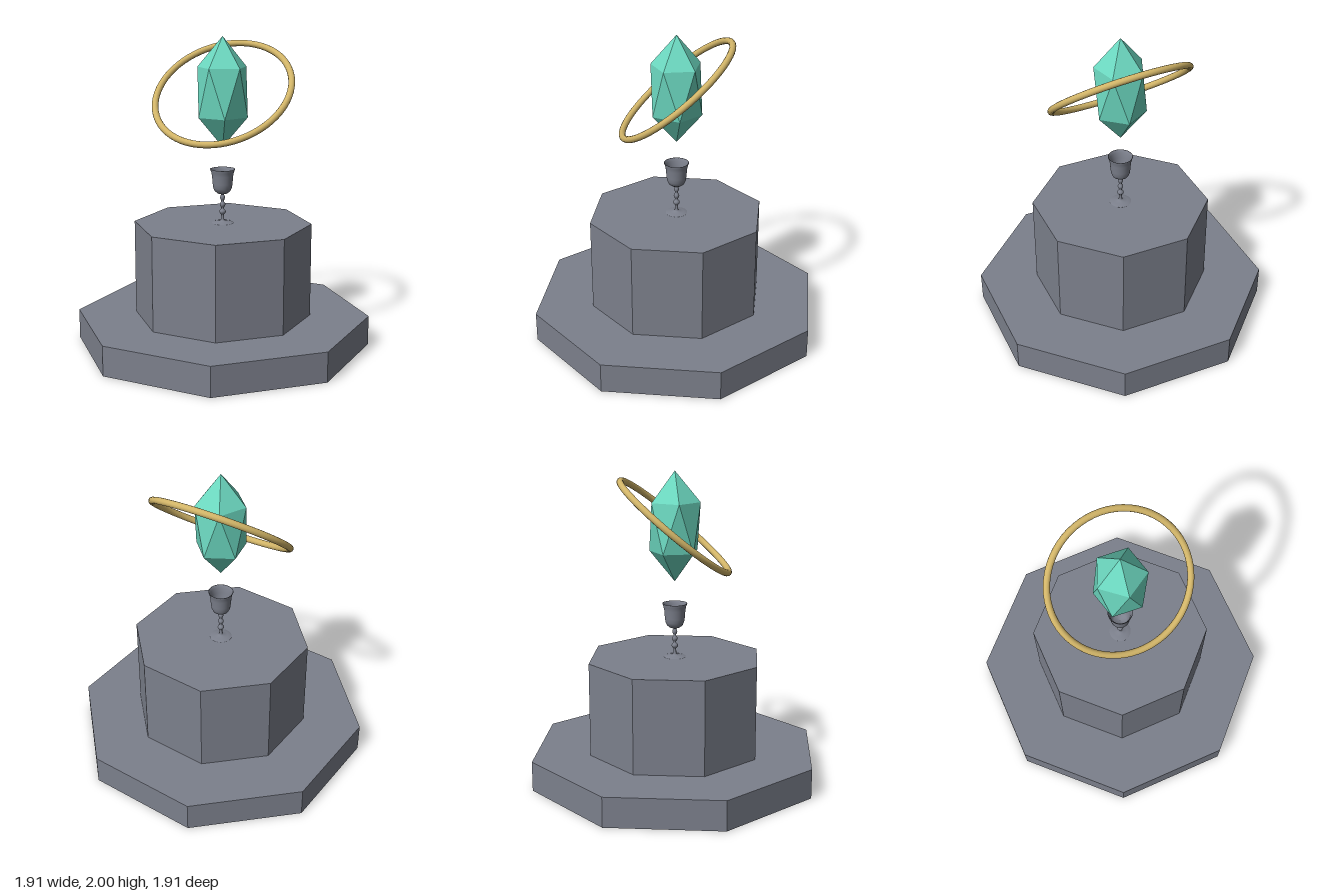
import * as THREE from 'three';
import { ConvexGeometry } from 'three/addons/geometries/ConvexGeometry.js';

const stone = new THREE.MeshStandardMaterial({ name: 'grey stone', color: 0x7c808c });
const stoneFlat = stone.clone();
stoneFlat.flatShading = true;
const gold = new THREE.MeshStandardMaterial({ name: 'gold', color: 0xd2b568 });
const crystalGreen = new THREE.MeshStandardMaterial({ name: 'crystal green', color: 0x6cd8c0, flatShading: true });

function add(group, name, geometry, material, y = 0) {
  const mesh = new THREE.Mesh(geometry, material);
  mesh.name = name;
  mesh.position.y = y;
  group.add(mesh);
  return mesh;
}

// Octagonal block with corners on the x and z axes
function octagon(group, name, radius, bottom, top) {
  add(group, name, new THREE.CylinderGeometry(radius, radius, top - bottom, 8), stoneFlat, (bottom + top) / 2);
}

// Elongated crystal: two poles and two staggered rings of five points
function crystalGeometry(halfHeight, radius) {
  const ringY = halfHeight / Math.sqrt(5);
  const points = [new THREE.Vector3(0, halfHeight, 0), new THREE.Vector3(0, -halfHeight, 0)];
  for (let i = 0; i < 5; i++) {
    const a = (i * Math.PI * 2) / 5;
    const x = radius * Math.cos(a), z = radius * Math.sin(a);
    points.push(new THREE.Vector3(x, ringY, z), new THREE.Vector3(-x, -ringY, -z));
  }
  return new ConvexGeometry(points);
}

export function createModel() {
  const model = new THREE.Group();
  model.name = 'crystalShrine';

  octagon(model, 'plinth', 0.955, 0, 0.193);
  octagon(model, 'pedestal', 0.573, 0.193, 0.805);

  // Goblet: foot, stem with three beads, hollow cup
  const profile = [[0.07, 0], [0.07, 0.004], [0.045, 0.009], [0.015, 0.015], [0.01, 0.025], [0.009, 0.05]];
  for (const [y, r] of [[0.075, 0.021], [0.122, 0.018], [0.168, 0.016]]) {
    for (let i = 0; i <= 6; i++) {
      const a = -1 + i / 3;
      profile.push([0.009 + (r - 0.009) * Math.cos(a * Math.PI / 2), y + a * 0.019]);
    }
  }
  profile.push(
    [0.012, 0.19], [0.032, 0.196], [0.05, 0.21], [0.06, 0.232], [0.064, 0.26], [0.068, 0.31],
    [0.073, 0.335], [0.08, 0.354], [0.076, 0.354], [0.068, 0.335], [0.062, 0.3], [0.056, 0.24],
    [0.04, 0.212], [0, 0.2]
  );
  const goblet = new THREE.LatheGeometry(profile.map(([r, y]) => new THREE.Vector2(r, y)), 32);
  add(model, 'goblet', goblet, stone, 0.803);

  // Floating crystal and the tilted ring around it
  add(model, 'crystal', crystalGeometry(0.35, 0.163), crystalGreen, 1.65);
  const ring = add(model, 'ring', new THREE.TorusGeometry(0.443, 0.021, 12, 64), gold, 1.65);
  const axis = new THREE.Vector3(0.29, 0.768, 0.57).normalize();
  ring.quaternion.setFromUnitVectors(new THREE.Vector3(0, 0, 1), axis);

  return model;
}
